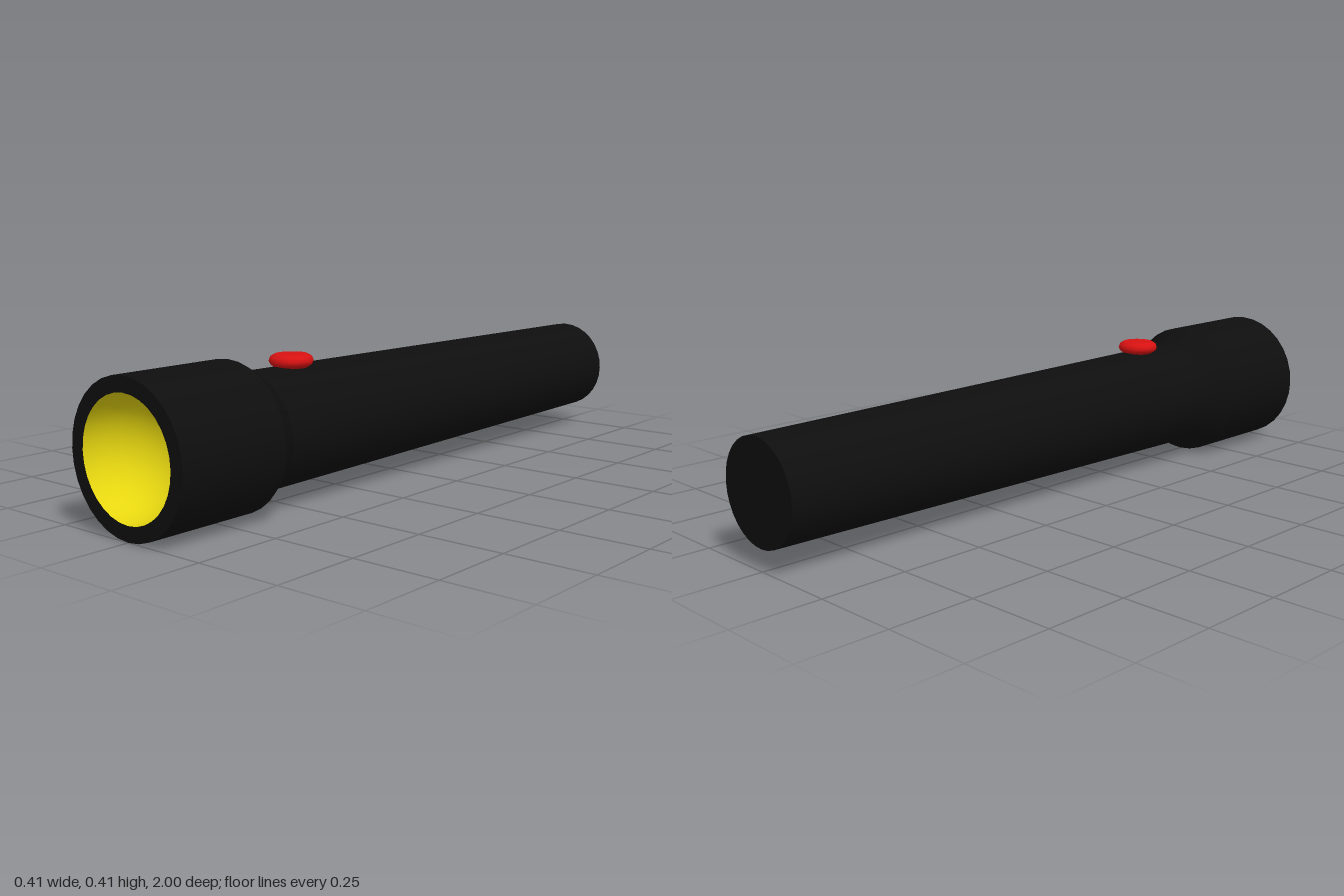
import * as THREE from 'three';

const material = (name, color, side = THREE.FrontSide) => {
  const m = new THREE.MeshStandardMaterial({ color, side });
  m.name = name;
  return m;
};

export function createModel() {
  const black = material('black', 0x0e0e0e);
  const yellow = material('yellow', 0xe6d610, THREE.DoubleSide);
  const red = material('red', 0xd81212);

  const model = new THREE.Group();
  model.name = 'flashlight';

  // Turned parts share one axis, laid along z
  const barrel = new THREE.Group();
  barrel.name = 'barrel';
  barrel.rotation.x = Math.PI / 2;
  barrel.position.y = 0.205;
  model.add(barrel);

  const turn = (name, points, mat, parent, segments = 32) => {
    const profile = points.map(([r, h]) => new THREE.Vector2(r, h));
    const mesh = new THREE.Mesh(new THREE.LatheGeometry(profile, segments), mat);
    mesh.name = name;
    parent.add(mesh);
  };

  // Separate bands keep the edges between them crisp
  turn('tailCap', [[0, -1], [0.145, -1]], black, barrel);
  turn('handle', [[0.145, -1], [0.163, 0.59]], black, barrel);
  turn('neck', [[0.163, 0.59], [0.205, 0.66]], black, barrel);
  turn('head', [[0.205, 0.66], [0.205, 1]], black, barrel);
  turn('rim', [[0.205, 1], [0.163, 1]], black, barrel);

  // Hemispherical reflector sunk into the head
  const bowl = [];
  for (let i = 0; i <= 14; i++) {
    const a = (i / 14) * Math.PI / 2;
    bowl.push([0.163 * Math.cos(a), 1 - 0.163 * Math.sin(a)]);
  }
  turn('reflector', bowl, yellow, barrel);

  // Round switch with softened edges
  const button = new THREE.Group();
  button.name = 'switch';
  button.position.set(0, 0.36, 0.425);
  model.add(button);
  turn('switchSide', [[0, 0], [0.045, 0.002], [0.057, 0.01], [0.061, 0.02], [0.057, 0.031], [0.045, 0.038]], red, button, 24);
  turn('switchTop', [[0.045, 0.038], [0, 0.039]], red, button, 24);

  return model;
}
